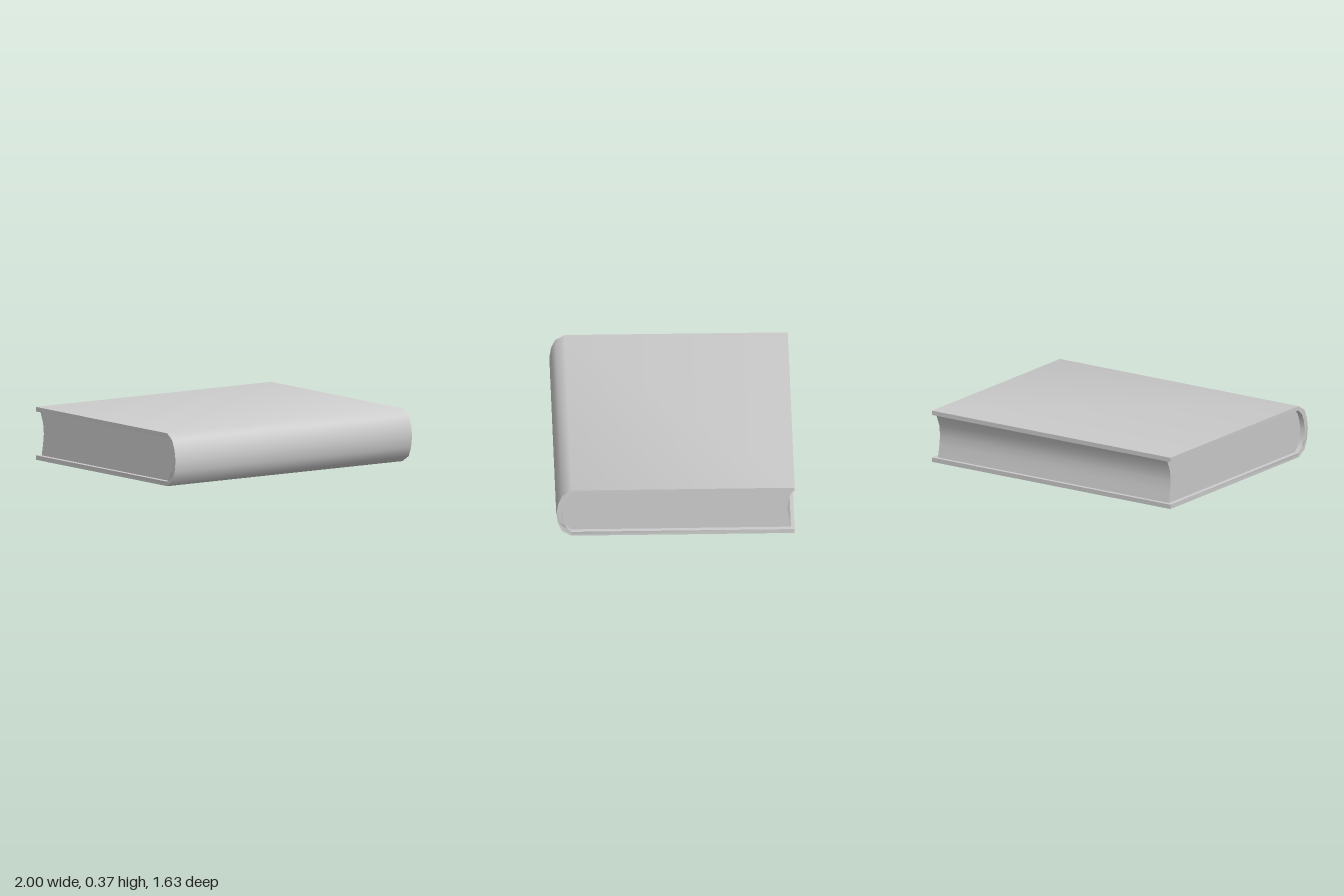
import * as THREE from 'three';
import { toCreasedNormals } from 'three/addons/utils/BufferGeometryUtils.js';

const material = new THREE.MeshStandardMaterial({ color: 0xcccccc });

// Side profile given as [z, y] points, extruded along x and centred
function extrudeAlongX(points, halfLength) {
  const shape = new THREE.Shape(points.map(([z, y]) => new THREE.Vector2(-z, y)));
  const geometry = new THREE.ExtrudeGeometry(shape, { depth: halfLength * 2, bevelEnabled: false });
  geometry.translate(0, 0, -halfLength);
  geometry.rotateY(Math.PI / 2);
  return geometry;
}

function addPart(group, name, geometry) {
  const mesh = new THREE.Mesh(toCreasedNormals(geometry, 0.75), material);
  mesh.name = name;
  group.add(mesh);
}

export function createModel() {
  const book = new THREE.Group();
  book.name = 'book';

  // Rounded spine, outside and inside, from bottom to top
  const spineOuter = [[0.71, 0], [0.775, 0.042], [0.803, 0.108], [0.815, 0.183], [0.803, 0.258], [0.775, 0.324], [0.71, 0.365]];
  const spineInner = [[0.71, 0.031], [0.745, 0.065], [0.765, 0.115], [0.779, 0.183], [0.765, 0.25], [0.745, 0.3], [0.71, 0.334]];
  const back = -0.815;

  // Cover: two boards joined by the spine
  const cover = extrudeAlongX([
    [back, 0], ...spineOuter, [back, 0.365], [back, 0.334],
    ...[...spineInner].reverse(), [back, 0.031],
  ], 0.994);
  // The spine stands out a little at both ends
  const p = cover.attributes.position;
  for (let i = 0; i < p.count; i++) {
    if (p.getZ(i) > 0.73) p.setX(i, Math.sign(p.getX(i)));
  }
  addPart(book, 'cover', cover);

  // Page block with a hollow fore edge, inset from the cover ends
  const foreEdge = [[-0.808, 0.334], [-0.775, 0.258], [-0.766, 0.183], [-0.774, 0.115], [-0.79, 0.031]];
  addPart(book, 'pages', extrudeAlongX([...spineInner, ...foreEdge], 0.962));

  return book;
}
